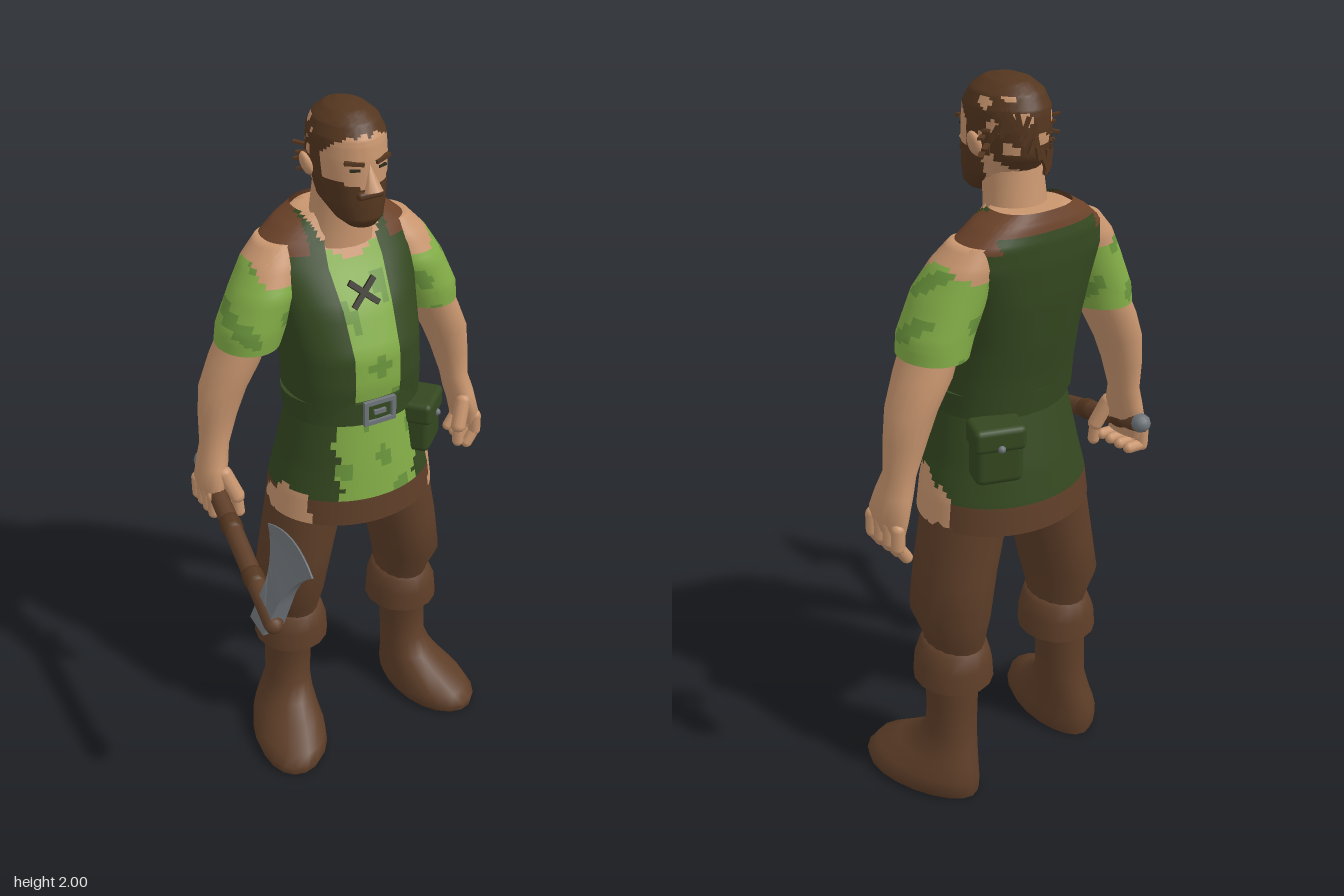
import * as THREE from 'three';
import { toCreasedNormals } from 'three/addons/utils/BufferGeometryUtils.js';
import { RoundedBoxGeometry } from 'three/addons/geometries/RoundedBoxGeometry.js';

const mat = (name, color, side = THREE.FrontSide) => {
  const m = new THREE.MeshStandardMaterial({ color, side });
  m.name = name;
  return m;
};
const CX = 0.02; // the body's mirror plane
const X = (s, d) => CX + s * d;

// Skins rings [y, cx, cz, rx, rz] given bottom to top; pick(x, y, z) chooses each face's material
function loft(rings, mats, { pick = () => 0, a0 = 0, a1 = Math.PI * 2, n = 24, sub = 1, pow = 1, warp, caps = true } = {}) {
  const list = caps ? [[...rings[0].slice(0, 3), 0, 0], ...rings, [...rings.at(-1).slice(0, 3), 0, 0]] : rings;
  const rows = [];
  list.forEach((r, i) => {
    if (i === list.length - 1) return rows.push(r);
    for (let k = 0; k < sub; k++) rows.push(r.map((v, c) => v + (list[i + 1][c] - v) * k / sub));
  });
  const bow = v => Math.sign(v) * Math.abs(v) ** pow;
  const pts = [];
  for (const [y, cx, cz, rx, rz] of rows) {
    for (let i = 0; i <= n; i++) {
      const a = a0 + (a1 - a0) * i / n;
      const p = new THREE.Vector3(cx + rx * bow(Math.sin(a)), y, cz + rz * bow(Math.cos(a)));
      if (warp) warp(p);
      pts.push(p);
    }
  }
  const buckets = mats.map(() => []);
  for (let j = 0; j < rows.length - 1; j++) {
    for (let i = 0; i < n; i++) {
      const a = j * (n + 1) + i, b = a + 1, c = b + n + 1, d = a + n + 1;
      const m = pts[a].clone().add(pts[c]).multiplyScalar(0.5);
      const out = buckets[pick(m.x, m.y, m.z)];
      if (rows[j][3] > 0) out.push(a, b, c); else out.push(a, c, d);
      if (rows[j][3] > 0 && rows[j + 1][3] > 0) out.push(a, c, d);
    }
  }
  const g = new THREE.BufferGeometry().setFromPoints(pts);
  g.setIndex(buckets.flat());
  let start = 0;
  buckets.forEach((b, i) => { if (b.length) g.addGroup(start, b.length, i); start += b.length; });
  return toCreasedNormals(g, 0.95);
}

export function createModel() {
  const model = new THREE.Group();
  const skin = mat('skin', 0xc9966f);
  const lime = mat('light green cloth', 0x83ad47, THREE.DoubleSide);
  const moss = mat('mid green cloth', 0x6a953d, THREE.DoubleSide);
  const forest = mat('dark green cloth', 0x344820, THREE.DoubleSide);
  const brown = mat('brown leather', 0x5e3e28);
  const trim = mat('russet trim', 0x6b4229, THREE.DoubleSide);
  const hair = mat('hair', 0x54361f);
  const steel = mat('steel', 0x6f757a);
  const dark = mat('dark line', 0x2c2a1c);

  const add = (name, geo, material, parent = model) => {
    const m = new THREE.Mesh(geo, material);
    m.name = name;
    parent.add(m);
    return m;
  };
  const box = (name, size, pos, material, rot = [0, 0, 0], round = 0) => {
    const m = add(name, round ? new RoundedBoxGeometry(...size, 2, round) : new THREE.BoxGeometry(...size), material);
    m.position.set(...pos);
    m.rotation.set(...rot);
    return m;
  };
  const rod = (name, from, to, r, material) => {
    const a = new THREE.Vector3(...from), b = new THREE.Vector3(...to), v = b.clone().sub(a);
    const m = add(name, new THREE.CapsuleGeometry(r, v.length(), 4, 10), material);
    m.position.copy(a).add(b).multiplyScalar(0.5);
    m.quaternion.setFromUnitVectors(new THREE.Vector3(0, 1, 0), v.normalize());
    return m;
  };
  const blotch = (x, y, z) => Math.sin(x * 47 + y * 23 + 1) + Math.sin(y * 49 + z * 31 - x * 17) > 1.15;

  // Torso: shirt, open vest with sloping shoulders and bare neckline, belt
  const torso = [
    [1.18, CX, -0.15, 0.19, 0.152], [1.27, CX, -0.15, 0.188, 0.165], [1.36, CX, -0.16, 0.188, 0.172],
    [1.48, CX, -0.195, 0.2, 0.153], [1.58, CX, -0.23, 0.222, 0.122], [1.635, CX, -0.245, 0.208, 0.105],
    [1.675, CX, -0.25, 0.16, 0.091], [1.705, CX, -0.25, 0.11, 0.08]];
  const inner = torso.map(([y, x, z, rx, rz]) => [y - 0.006, x, z, rx - 0.01, rz - 0.009]);
  add('shirt', loft(inner, [lime, moss, skin], {
    sub: 4, n: 64, pow: 0.82,
    pick: (x, y, z) => y > 1.585 + Math.abs(x - CX) * 0.4 ? 2 : blotch(x, y, z) ? 1 : 0 }), [lime, moss, skin]);
  add('vest', loft(torso, [forest, trim, skin], {
    sub: 5, n: 80, pow: 0.82, a0: 0.29, a1: Math.PI * 2 - 0.29, caps: false,
    pick: (x, y, z) => {
      const d = Math.abs(x - CX), front = z > -0.235;
      if (front && y > 1.58 && d < 0.055 + (y - 1.58) * 0.42) return 2;
      if (front) return y > 1.615 && d > 0.115 ? 1 : 0;
      return y > 1.66 || y > 1.625 && d > 0.15 ? 1 : 0;
    } }), [forest, trim, skin]);
  add('belt', loft([[1.16, CX, -0.145, 0.196, 0.16], [1.225, CX, -0.148, 0.2, 0.163]], [forest], { n: 32 }), forest);
  for (const s of [-1, 1]) {
    box('buckleSide', [0.012, 0.07, 0.012], [X(s, 0.042), 1.195, 0.016], steel);
    box('buckleBar', [0.095, 0.012, 0.012], [CX, 1.195 + s * 0.03, 0.016], steel);
    box('lace', [0.1, 0.016, 0.009], [CX, 1.51, -0.069], dark, [-0.44, 0, s * 0.75]);
  }
  box('bucklePin', [0.035, 0.012, 0.01], [CX, 1.195, 0.018], steel);

  // Tunic skirt with hem and closed underside
  const skirtMats = [forest, lime, moss, brown, skin];
  add('tunicSkirt', loft([
    [0.9, CX, -0.16, 0.1, 0.1], [0.853, CX, -0.164, 0.247, 0.206], [0.93, CX, -0.162, 0.237, 0.198],
    [1.02, CX, -0.157, 0.214, 0.185], [1.18, CX, -0.145, 0.186, 0.154]], skirtMats, {
    sub: 7, n: 80, pick: (x, y, z) => {
      const d = Math.abs(x - CX), top = (x > CX ? 1.0 : 0.955) - Math.abs(z + 0.1) * 0.5;
      if (d > 0.19 && z > -0.23 && z < -0.03 && y < top + Math.sin(z * 90) * 0.01) return 4;
      if (y < 0.928) return 3;
      if (z > -0.1 && d < 0.118 + Math.sin(y * 70) * 0.008) return blotch(x, y, z) ? 2 : 1;
      return 0;
    } }), skirtMats);

  // Pouches on the belt
  for (const [x, z, turn, size] of [[0.18, -0.037, 0.75, 1], [0.16, -0.3, 2.75, 1.02]]) {
    const pouch = new THREE.Group();
    pouch.name = 'pouch';
    add('pouchBody', new RoundedBoxGeometry(0.125, 0.14, 0.085, 2, 0.02), forest, pouch).position.y = -0.01;
    add('pouchFlap', new RoundedBoxGeometry(0.134, 0.065, 0.096, 2, 0.015), forest, pouch).position.y = 0.045;
    const stud = add('pouchStud', new THREE.SphereGeometry(0.01, 8, 6), steel, pouch);
    stud.position.set(0, 0.025, 0.049);
    pouch.position.set(x, 1.095, z);
    pouch.rotation.y = turn;
    pouch.scale.setScalar(size);
    model.add(pouch);
  }

  for (const s of [-1, 1]) {
    // Sleeve with bare shoulder, arm and palm
    add('sleeve', loft([
      [1.40, X(s, 0.255), -0.215, 0.06, 0.07], [1.375, X(s, 0.273), -0.215, 0.086, 0.1],
      [1.42, X(s, 0.262), -0.213, 0.092, 0.102], [1.52, X(s, 0.217), -0.215, 0.092, 0.1],
      [1.59, X(s, 0.187), -0.23, 0.08, 0.086], [1.64, X(s, 0.165), -0.24, 0.055, 0.066]], [lime, moss, skin], {
      sub: 5, n: 48, pick: (x, y, z) => {
        const bare = y > 1.565 + Math.sin(z * 60) * 0.012 && Math.abs(x - CX) < 0.255;
        return bare ? 2 : blotch(x, y, z) ? 1 : 0;
      } }), [lime, moss, skin]);
    add('arm', loft([
      [0.925, X(s, 0.412), -0.21, 0.024, 0.06], [0.97, X(s, 0.412), -0.21, 0.034, 0.072],
      [1.03, X(s, 0.397), -0.215, 0.04, 0.06], [1.08, X(s, 0.385), -0.222, 0.039, 0.048],
      [1.17, X(s, 0.368), -0.225, 0.052, 0.06], [1.25, X(s, 0.347), -0.225, 0.065, 0.068],
      [1.33, X(s, 0.309), -0.223, 0.068, 0.082], [1.43, X(s, 0.265), -0.215, 0.068, 0.078]], [skin], { n: 18 }), skin);
    // Fingers: relaxed on the left, closed around the haft on the right
    for (let i = 0; i < 4; i++) {
      const z = -0.157 - i * 0.036, knuckle = [X(s, 0.425), 0.95, z];
      const mid = [X(s, 0.425), 0.9, z], tip = s > 0 ? [X(s, 0.4), 0.862, z] : [X(s, 0.375), 0.905, z];
      rod('finger', knuckle, mid, 0.018, skin);
      rod('fingerTip', mid, tip, 0.016, skin);
    }
    rod('thumbBase', [X(s, 0.385), 1.01, -0.165], [X(s, 0.36), 0.94, -0.145], 0.022, skin);
    rod('thumbTip', [X(s, 0.36), 0.94, -0.145], [X(s, 0.358), 0.89, -0.142], 0.017, skin);

    // Trouser leg, boot cuff and boot
    add('trouserLeg', loft([
      [0.45, X(s, 0.188), -0.185, 0.074, 0.09], [0.49, X(s, 0.188), -0.185, 0.077, 0.1],
      [0.57, X(s, 0.196), -0.178, 0.097, 0.13], [0.7, X(s, 0.172), -0.172, 0.103, 0.128],
      [0.86, X(s, 0.138), -0.17, 0.109, 0.128], [0.95, X(s, 0.12), -0.17, 0.1, 0.125]], [brown], { n: 18 }), brown);
    add('bootCuff', loft([
      [0.335, X(s, 0.195), -0.19, 0.07, 0.08], [0.36, X(s, 0.192), -0.187, 0.109, 0.116],
      [0.42, X(s, 0.191), -0.186, 0.104, 0.113], [0.465, X(s, 0.188), -0.185, 0.088, 0.103],
      [0.478, X(s, 0.188), -0.185, 0.076, 0.09]], [brown], { n: 16 }), brown);
    add('boot', loft([
      [0, X(s, 0.246), -0.12, 0.1, 0.182], [0.025, X(s, 0.246), -0.12, 0.11, 0.189],
      [0.06, X(s, 0.241), -0.13, 0.103, 0.178], [0.1, X(s, 0.228), -0.16, 0.086, 0.14],
      [0.14, X(s, 0.215), -0.185, 0.074, 0.103], [0.19, X(s, 0.206), -0.195, 0.067, 0.08],
      [0.28, X(s, 0.203), -0.195, 0.069, 0.077], [0.35, X(s, 0.199), -0.19, 0.074, 0.082]], [brown], {
      n: 20, warp: p => { // broad toe turned outward
        if (p.y > 0.15) return;
        const c = X(s, 0.23), k = (0.15 - p.y) / 0.15, t = p.z + 0.13;
        p.x = c + (p.x - c) * (1 + 0.7 * k * t) + s * t * 0.16 * k;
      } }), brown);
  }

  // Head with beard, hairline and thin patches coloured by region
  add('neck', loft([[1.62, CX, -0.205, 0.095, 0.085], [1.69, CX, -0.198, 0.082, 0.077],
    [1.79, CX, -0.185, 0.074, 0.075]], [skin], { n: 18 }), skin);
  add('head', loft([
    [1.705, 0.022, -0.085, 0.038, 0.038], [1.725, 0.022, -0.1, 0.062, 0.066], [1.765, 0.022, -0.14, 0.083, 0.106],
    [1.82, 0.022, -0.158, 0.093, 0.122], [1.88, 0.022, -0.163, 0.097, 0.125], [1.93, 0.022, -0.164, 0.095, 0.12],
    [1.965, 0.022, -0.166, 0.08, 0.1], [1.988, 0.022, -0.167, 0.052, 0.068], [2.0, 0.022, -0.17, 0.018, 0.025]],
    [skin, hair], { sub: 6, n: 64, pick: (x, y, z) => {
      const d = Math.abs(x - 0.022);
      const thin = y > 1.82 && y < 1.965 && z < -0.17 && Math.sin(y * 95 + z * 40) + Math.sin(z * 85 - y * 60 + x * 20) > 0.75;
      const crown = y > 1.943 + Math.sin(x * 160) * 0.006 || z < -0.14 + (y - 1.88) * 1.2 && y > 1.765;
      const sideburn = z > -0.18 && z < -0.125 && y < 1.9;
      const beard = z > -0.17 && y < 1.805 + Math.min(d, 0.08) * 0.35;
      return !thin && (crown || sideburn || beard) ? 1 : 0;
    } }), [skin, hair]);
  const nose = add('nose', new THREE.ConeGeometry(0.024, 0.07, 6), skin);
  nose.position.set(0.022, 1.842, -0.03);
  nose.rotation.x = -0.3;
  box('moustache', [0.075, 0.02, 0.02], [0.022, 1.797, -0.036], hair, [0, 0, 0], 0.008);
  for (const s of [-1, 1]) {
    const x = d => 0.022 + s * d;
    box('brow', [0.05, 0.009, 0.012], [x(0.04), 1.88, -0.047], hair, [0, s * 0.35, s * 0.12]);
    box('eye', [0.026, 0.006, 0.008], [x(0.038), 1.862, -0.047], dark, [0, s * 0.35, 0]);
    const ear = add('ear', new THREE.SphereGeometry(0.03, 10, 8), skin);
    ear.scale.set(0.45, 1.1, 0.75);
    ear.position.set(x(0.107), 1.85, -0.175);
    ear.rotation.z = -s * 0.3;
    // Tufts behind the ears
    for (let i = 0; i < 4; i++) {
      box('tuft', [0.03, 0.006, 0.014], [x(0.106), 1.83 + i * 0.02, -0.2 - (i % 2) * 0.015], hair, [0, s * 0.6, s * (i - 2) * 0.2]);
    }
  }
  // Ragged locks lying along the back of the head
  for (let i = 0; i < 22; i++) {
    const a = 1.9 + 2.48 * i / 21, r = Math.sin(i * 12.9) * 0.5 + 0.5;
    const lock = box('hairLock', [0.012, 0.06, 0.008],
      [0.022 + 0.094 * Math.sin(a), 1.8 + r * 0.11, -0.163 + 0.121 * Math.cos(a)], hair);
    lock.rotation.set(0, a, Math.sin(i * 5.3) * 0.6);
  }

  // Axe: haft, wrappings, butt cap and tapering blade
  const butt = new THREE.Vector3(-0.375, 0.985, -0.285), tip = new THREE.Vector3(-0.443, 0.84, 0.285);
  const at = t => butt.clone().lerp(tip, t).toArray();
  rod('axeHaft', at(0.01), at(1), 0.026, brown);
  rod('buttCap', at(-0.005), at(0.005), 0.027, steel);
  for (const t of [0.12, 0.4, 0.72]) rod('haftWrap', at(t), at(t + 0.035), 0.03, hair);
  const outline = new THREE.Shape();
  outline.moveTo(0.2, 0.815);
  outline.lineTo(0.28, 0.81);
  outline.lineTo(0.3, 0.91);
  outline.quadraticCurveTo(0.32, 0.99, 0.385, 1.035);
  outline.quadraticCurveTo(0.26, 1.095, 0.135, 1.04);
  outline.quadraticCurveTo(0.205, 0.99, 0.215, 0.93);
  const blade = new THREE.ExtrudeGeometry(outline, { depth: 0.054, bevelEnabled: false, curveSegments: 8 });
  blade.translate(0, 0, -0.027).rotateY(-Math.PI / 2);
  const p = blade.attributes.position;
  for (let i = 0; i < p.count; i++) {
    const y = p.getY(i), thin = 1 - 0.92 * THREE.MathUtils.clamp((y - 0.88) / 0.15, 0, 1);
    p.setX(i, -0.436 + (y - 0.84) * 0.3 + p.getX(i) * thin);
  }
  add('axeBlade', toCreasedNormals(blade, 0.5), steel);

  return model;
}
